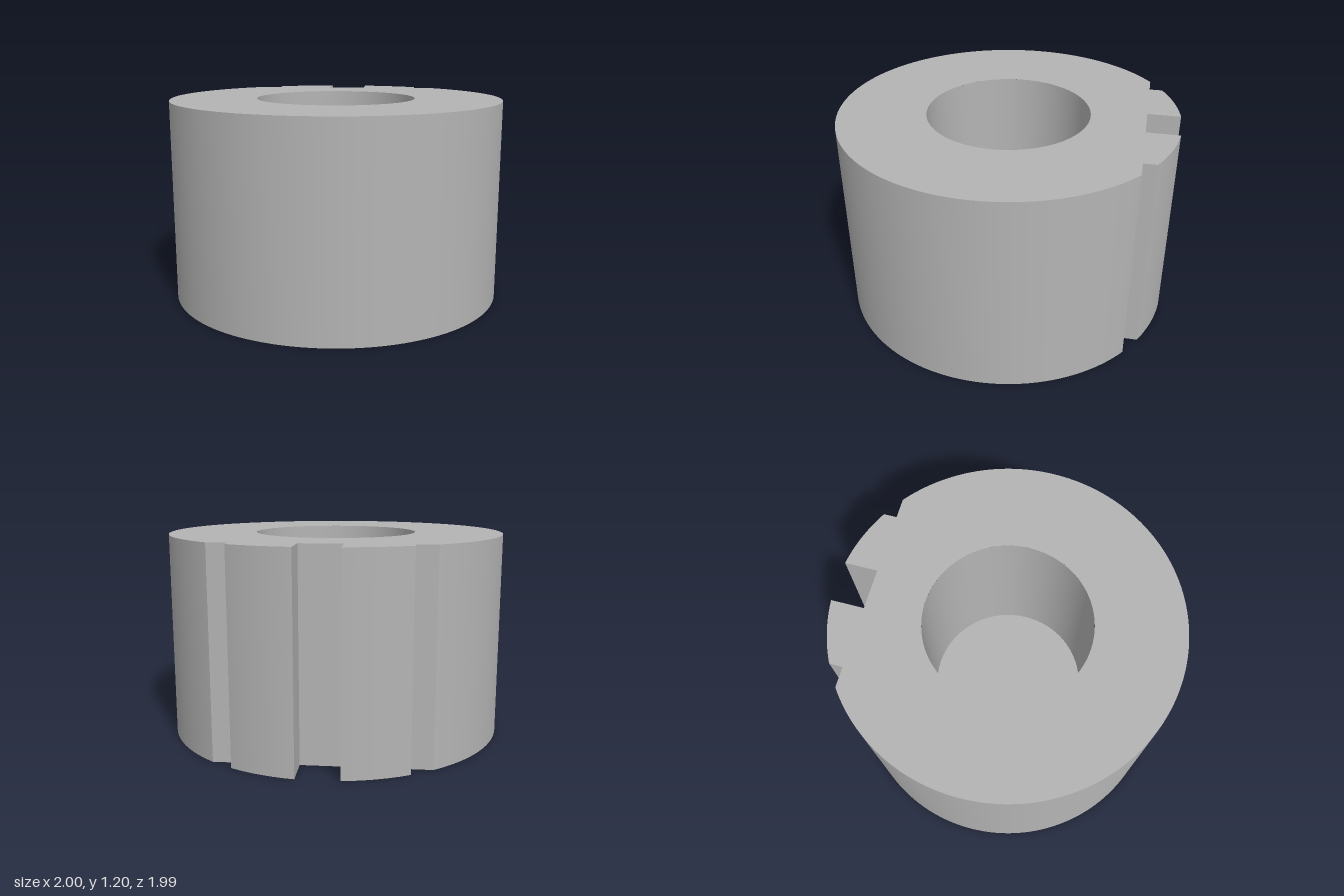
import * as THREE from 'three';
import { toCreasedNormals } from 'three/addons/utils/BufferGeometryUtils.js';

const HEIGHT = 1.2, BORE_RADIUS = 0.48, BORE_FLOOR = 0.2, SEGMENTS = 128;

// Plan of the collar: a unit disc with two corner notches and a keyway at the back (+y here, -z in the model)
function createPlan() {
  const cornerAngle = Math.atan2(0.8, 0.6);
  const angleAt = (x) => Math.acos(x);
  const plan = new THREE.Shape();
  plan.moveTo(-0.6, 0.8);
  plan.absarc(0, 0, 1, Math.PI - cornerAngle, 2 * Math.PI + cornerAngle, false);
  plan.lineTo(0.48, 0.8);
  plan.absarc(0, 0, 1, angleAt(0.48), angleAt(0.12), false);
  plan.lineTo(0.12, 0.8);
  plan.lineTo(-0.12, 0.8);
  plan.absarc(0, 0, 1, angleAt(-0.12), angleAt(-0.48), false);
  plan.lineTo(-0.48, 0.8);
  plan.closePath();
  return plan;
}

// Extruded wall only, without its end caps
function createWall(plan) {
  const solid = toCreasedNormals(
    new THREE.ExtrudeGeometry(plan, { depth: HEIGHT, bevelEnabled: false, curveSegments: SEGMENTS }), 0.35);
  const { start, count } = solid.groups[1];
  const wall = new THREE.BufferGeometry();
  for (const key of ['position', 'normal']) {
    const part = solid.getAttribute(key).array.slice(start * 3, (start + count) * 3);
    wall.setAttribute(key, new THREE.BufferAttribute(part, 3));
  }
  return wall.rotateX(-Math.PI / 2);
}

export function createModel() {
  const model = new THREE.Group();
  model.name = 'keyedCollar';
  const steel = new THREE.MeshStandardMaterial({ color: 0xb4b4b4 });
  steel.name = 'plain grey';

  const add = (name, geometry, y = 0) => {
    const mesh = new THREE.Mesh(geometry, steel);
    mesh.name = name;
    mesh.position.set(0, y, -0.004);
    model.add(mesh);
  };

  // Outer wall with notches and keyway
  add('outerWall', createWall(createPlan()));

  // Closed underside
  const underside = new THREE.ShapeGeometry(createPlan(), SEGMENTS);
  add('underside', underside.scale(1, -1, 1).rotateX(Math.PI / 2));
  // Mirroring reversed nothing visible in the plan: restore the winding and point it downwards
  const index = underside.index.array;
  for (let i = 0; i < index.length; i += 3) [index[i], index[i + 1]] = [index[i + 1], index[i]];
  underside.computeVertexNormals();

  // Top face around the bore
  const topPlan = createPlan();
  topPlan.holes.push(new THREE.Path().absarc(0, 0, BORE_RADIUS, 0, Math.PI * 2, true));
  add('topFace', new THREE.ShapeGeometry(topPlan, SEGMENTS).rotateX(-Math.PI / 2), HEIGHT);

  // Blind bore: profile runs downwards so the wall faces inwards
  add('boreWall', new THREE.LatheGeometry(
    [new THREE.Vector2(BORE_RADIUS, HEIGHT), new THREE.Vector2(BORE_RADIUS, BORE_FLOOR)], SEGMENTS));
  add('boreFloor', new THREE.CircleGeometry(BORE_RADIUS, SEGMENTS).rotateX(-Math.PI / 2), BORE_FLOOR);

  return model;
}
